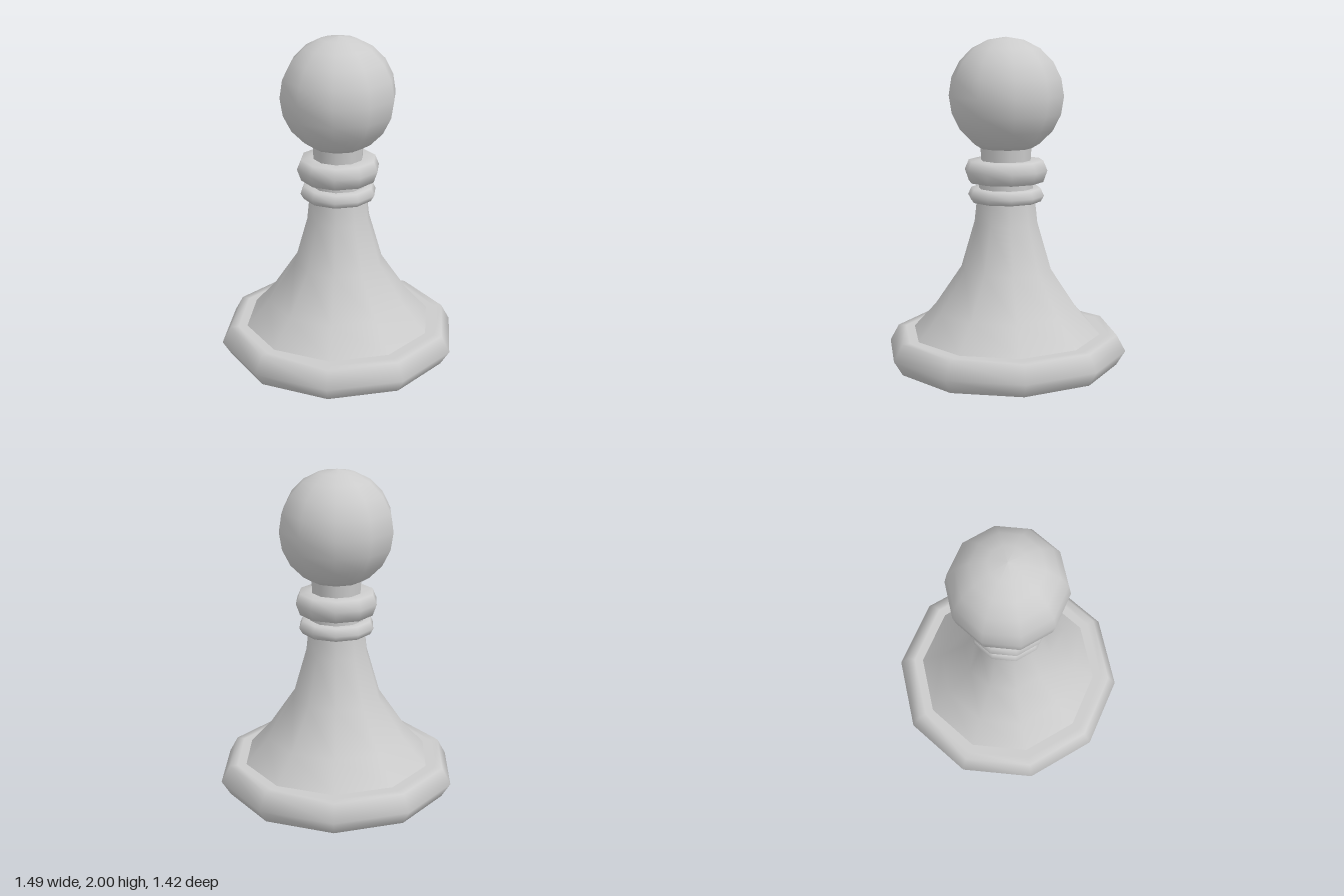
import * as THREE from 'three';

const SIDES = 10;
const material = new THREE.MeshStandardMaterial({ color: 0xcccccc });

// Ten-sided turned part from [radius, height] pairs, bottom to top, with a corner on +x
function turned(name, profile) {
  const points = profile.map(([r, y]) => new THREE.Vector2(r, y));
  const mesh = new THREE.Mesh(new THREE.LatheGeometry(points, SIDES, Math.PI / 2), material);
  mesh.name = name;
  return mesh;
}

export function createModel() {
  const group = new THREE.Group();
  group.name = 'pawn';

  // Bevelled foot
  group.add(turned('base', [
    [0, 0], [0.64, 0], [0.69, 0], [0.745, 0.09], [0.69, 0.19], [0.64, 0.19], [0.57, 0.19],
  ]));

  // Flared stem
  group.add(turned('body', [
    [0.585, 0.19], [0.445, 0.345], [0.28, 0.59], [0.195, 0.88], [0.18, 1.02],
  ]));

  // Two collars with a waist between them
  group.add(turned('lowerCollar', [
    [0.17, 1.01], [0.215, 1.01], [0.235, 1.045], [0.215, 1.09], [0.16, 1.09],
  ]));
  group.add(turned('waist', [[0.168, 1.085], [0.168, 1.135]]));
  group.add(turned('upperCollar', [
    [0.16, 1.13], [0.23, 1.13], [0.255, 1.2], [0.23, 1.26], [0.14, 1.26],
  ]));
  group.add(turned('neck', [[0.152, 1.255], [0.157, 1.335]]));

  // Ball head, cut flat where it meets the neck
  const radius = 0.352, centre = 2 - radius;
  const head = [[0, 1.33], [0.15, 1.33]];
  for (let deg = -54; deg <= 90; deg += 18) {
    const a = THREE.MathUtils.degToRad(deg);
    head.push([deg === 90 ? 0 : radius * Math.cos(a), centre + radius * Math.sin(a)]);
  }
  group.add(turned('head', head));

  return group;
}
